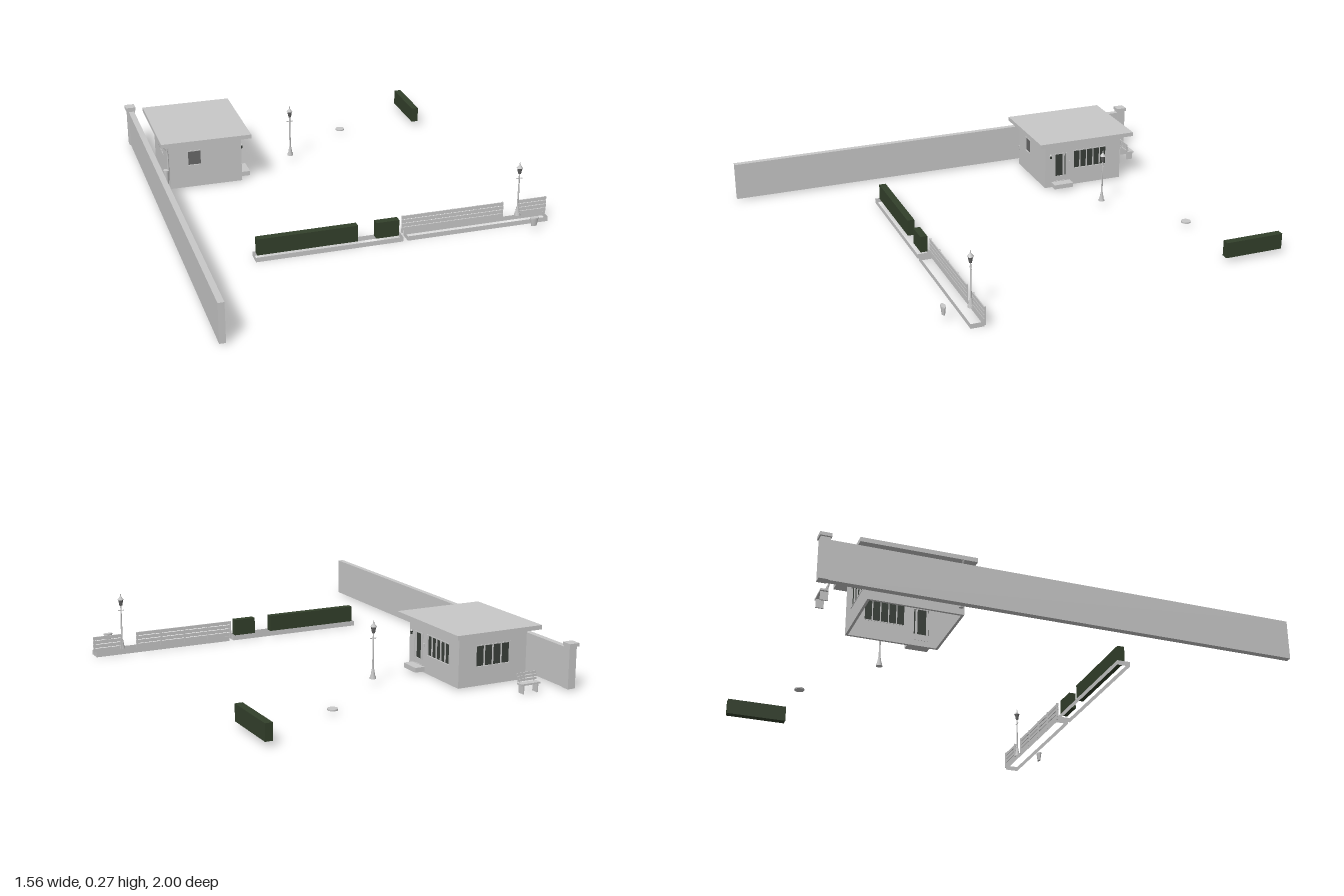
import * as THREE from 'three';

const mat = (name, color, side = THREE.FrontSide) => {
  const m = new THREE.MeshStandardMaterial({ color, side });
  m.name = name;
  return m;
};

export function createModel() {
  const root = new THREE.Group();
  root.name = 'gardenYard';
  const stone = mat('lightGrey', 0xc8c8c8);
  const shell = mat('lightGreyOpen', 0xc8c8c8, THREE.DoubleSide);
  const hedgeGreen = mat('hedgeGreen', 0x33402b);
  const glass = mat('darkGlass', 0x3a403a);
  const pale = mat('greyGlass', 0x686868);

  const add = (name, geo, material, parent = root) => {
    const m = new THREE.Mesh(geo, material);
    m.name = name;
    parent.add(m);
    return m;
  };
  // Box given by its lower and upper limits on each axis
  const box = (name, x0, x1, y0, y1, z0, z1, material = stone, parent = root) => {
    const m = add(name, new THREE.BoxGeometry(x1 - x0, y1 - y0, z1 - z0), material, parent);
    m.position.set((x0 + x1) / 2, (y0 + y1) / 2, (z0 + z1) / 2);
    return m;
  };
  const cyl = (name, rt, rb, y0, y1, sides, parent, material = stone) => {
    const m = add(name, new THREE.CylinderGeometry(rt, rb, y1 - y0, sides), material, parent);
    m.position.y = (y0 + y1) / 2;
    return m;
  };
  const group = (name, x = 0, y = 0, z = 0, parent = root) => {
    const g = new THREE.Group();
    g.name = name;
    g.position.set(x, y, z);
    parent.add(g);
    return g;
  };

  // Boundary wall and end pillar
  box('boundaryWall', -0.767, -0.742, 0.006, 0.171, -0.89, 1);
  box('pillar', -0.772, -0.738, 0.006, 0.178, -0.926, -0.888);
  box('pillarCap', -0.78, -0.735, 0.178, 0.192, -0.931, -0.885);

  // House: four pierced walls, open underneath, with a slab roof
  const house = group('house');
  const T = 0.01;
  // Openings are [u0, u1, y0, y1, panes, material] along a wall centred on u = 0
  const houseWall = (name, width, x, z, turn, openings) => {
    const g = group(name, x, 0, z, house);
    g.rotation.y = turn;
    const w = width / 2;
    const shape = new THREE.Shape([[-w, 0.004], [w, 0.004], [w, 0.216], [-w, 0.216]].map(p => new THREE.Vector2(...p)));
    openings.forEach(([a, b, c, d]) => shape.holes.push(
      new THREE.Path([[a, c], [a, d], [b, d], [b, c]].map(p => new THREE.Vector2(...p)))));
    const geo = new THREE.ExtrudeGeometry(shape, { depth: T, bevelEnabled: false });
    geo.translate(0, 0, -T);
    add('wallPanel', geo, stone, g);
    openings.forEach(([a, b, c, d, panes, material]) => {
      box('pane', a, b, c, d, -0.008, -0.004, material, g);
      for (let i = 0; i <= panes; i++) {
        const u = a + (b - a) * i / panes;
        box('frameUpright', u - 0.002, u + 0.002, c, d, -0.011, 0.001, stone, g);
      }
      for (const y of [c, d]) box('frameRail', a - 0.002, b + 0.002, y - 0.002, y + 0.002, -0.011, 0.002, stone, g);
    });
    return g;
  };
  houseWall('frontWall', 0.32, -0.52, -0.345, 0, [[-0.08, -0.02, 0.105, 0.173, 1, pale]]);
  houseWall('backWall', 0.32, -0.52, -0.72, Math.PI, [[-0.08, 0.08, 0.082, 0.17, 4, glass]]);
  houseWall('rightWall', 0.375, -0.68, -0.5325, -Math.PI / 2, [[-0.035, 0.035, 0.105, 0.173, 2, glass]]);
  const doorWall = houseWall('doorWall', 0.375, -0.36, -0.5325, Math.PI / 2,
    [[-0.148, -0.083, 0.03, 0.165, 1, glass], [-0.047, 0.117, 0.082, 0.17, 5, glass]]);
  box('doorLowerPanel', -0.146, -0.085, 0.03, 0.055, -0.009, -0.001, stone, doorWall);
  for (const u of [-0.145, -0.1]) box('doorStile', u, u + 0.009, 0.05, 0.163, -0.009, -0.001, stone, doorWall);
  box('bellBox', -0.071, -0.065, 0.115, 0.127, 0, 0.006, stone, doorWall);
  box('roof', -0.72, -0.322, 0.216, 0.234, -0.766, -0.306, stone, house);
  box('doorStep', -0.36, -0.316, 0.01, 0.03, -0.467, -0.375, stone, house);

  // Wall lantern beside the door
  const wallLamp = group('wallLantern', -0.353, 0, -0.37, house);
  cyl('lanternGlass', 0.006, 0.004, 0.148, 0.162, 6, wallLamp, glass);
  cyl('lanternCap', 0.001, 0.007, 0.162, 0.169, 6, wallLamp);
  box('lanternArm', -0.008, 0, 0.163, 0.166, -0.002, 0.002, stone, wallLamp);

  // Drainpipe and water butt at the front corner
  const pipe = new THREE.CatmullRomCurve3([[-0.718, 0.216], [-0.712, 0.205], [-0.69, 0.188], [-0.686, 0.17], [-0.686, 0.05], [-0.69, 0.025]]
    .map(([x, y]) => new THREE.Vector3(x, y, -0.362)));
  add('drainpipe', new THREE.TubeGeometry(pipe, 24, 0.004, 8), shell, house);
  const butt = group('waterButt', -0.694, 0, -0.362, house);
  cyl('buttBody', 0.012, 0.009, 0.025, 0.082, 10, butt);
  cyl('buttRim', 0.014, 0.014, 0.082, 0.09, 10, butt);

  // Bench behind the house
  const bench = group('bench', -0.59, 0, -0.868);
  box('benchSeat', -0.045, 0.045, 0.034, 0.041, -0.018, 0.012, stone, bench);
  for (const x of [-0.036, 0.03]) box('benchLeg', x, x + 0.006, 0, 0.075, -0.016, 0.014, stone, bench).scale.set(1, 0.5, 1);
  bench.children.filter(c => c.name === 'benchLeg').forEach(c => { c.position.y = 0.018; });
  for (let i = 0; i < 3; i++) {
    const z = 0.009 + i * 0.003;
    box('benchBackSlat', -0.045, 0.045, 0.045 + i * 0.012, 0.054 + i * 0.012, z, z + 0.003, stone, bench);
  }
  for (const x of [-0.034, 0.032]) {
    box('benchBackPost', x, x + 0.004, 0.036, 0.078, 0.013, 0.016, stone, bench).rotation.x = 0.2;
  }

  // Hedges
  box('longHedge', -0.48, -0.062, 0.02, 0.09, 0.38, 0.41, hedgeGreen);
  box('shortHedge', 0.016, 0.113, 0.02, 0.09, 0.38, 0.41, hedgeGreen);
  box('backHedge', 0.583, 0.614, 0.018, 0.086, -1, -0.742, hedgeGreen);

  // Kerbs: rings of upright faces with no top or bottom
  for (const [a, b] of [[-0.49, 0.125], [0.145, 0.765]]) {
    const kerb = group('kerb', (a + b) / 2, 0.01, 0.4);
    for (const s of [-1, 1]) {
      const long = add('kerbSide', new THREE.PlaneGeometry(b - a, 0.02), shell, kerb);
      long.position.z = s * 0.028;
      const end = add('kerbEnd', new THREE.PlaneGeometry(0.056, 0.02), shell, kerb);
      end.position.x = s * (b - a) / 2;
      for (const m of [long, end]) m.rotation.y = (m === end ? Math.PI / 2 : 0) + (s < 0 ? Math.PI : 0);
    }
  }

  // Plank fences
  for (const [a, b, bays] of [[0.135, 0.583, 4], [0.648, 0.777, 1]]) {
    const fence = group('fence');
    for (let i = 0; i < 4; i++) {
      const y = 0.023 + i * 0.0172;
      box('fencePlank', a, b, y, y + 0.0145, 0.375, 0.379, stone, fence);
    }
    for (let i = 0; i <= bays; i++) {
      const x = a + 0.004 + (b - a - 0.008) * i / bays;
      box('fencePost', x - 0.003, x + 0.003, 0.012, 0.089, 0.371, 0.376, stone, fence);
    }
  }

  // Lamp posts
  for (const [x, z] of [[-0.094, -0.507], [0.646, 0.383]]) {
    const lamp = group('lampPost', x, 0, z);
    cyl('lampFoot', 0.012, 0.014, 0.025, 0.036, 8, lamp);
    cyl('lampCollar', 0.005, 0.01, 0.036, 0.065, 8, lamp);
    cyl('lampPole', 0.0028, 0.004, 0.06, 0.215, 8, lamp);
    const bar = cyl('lampCrossbar', 0.0018, 0.0018, -0.014, 0.014, 6, lamp);
    bar.rotation.z = Math.PI / 2;
    bar.position.y = 0.192;
    cyl('lampBody', 0.011, 0.006, 0.213, 0.239, 6, lamp, pale);
    cyl('lampHood', 0.003, 0.014, 0.239, 0.253, 6, lamp);
    cyl('lampFinial', 0.001, 0.003, 0.253, 0.265, 6, lamp);
  }

  // Small planter in front of the fence
  const planter = group('planter', 0.668, 0, 0.502);
  cyl('planterBody', 0.018, 0.012, 0.028, 0.06, 12, planter).scale.z = 0.5;
  cyl('planterRim', 0.02, 0.02, 0.06, 0.065, 12, planter).scale.z = 0.5;

  // Round ground cover
  const cover = group('groundCover', 0.223, 0, -0.763);
  cyl('coverDisc', 0.021, 0.021, 0.012, 0.018, 20, cover);

  return root;
}
